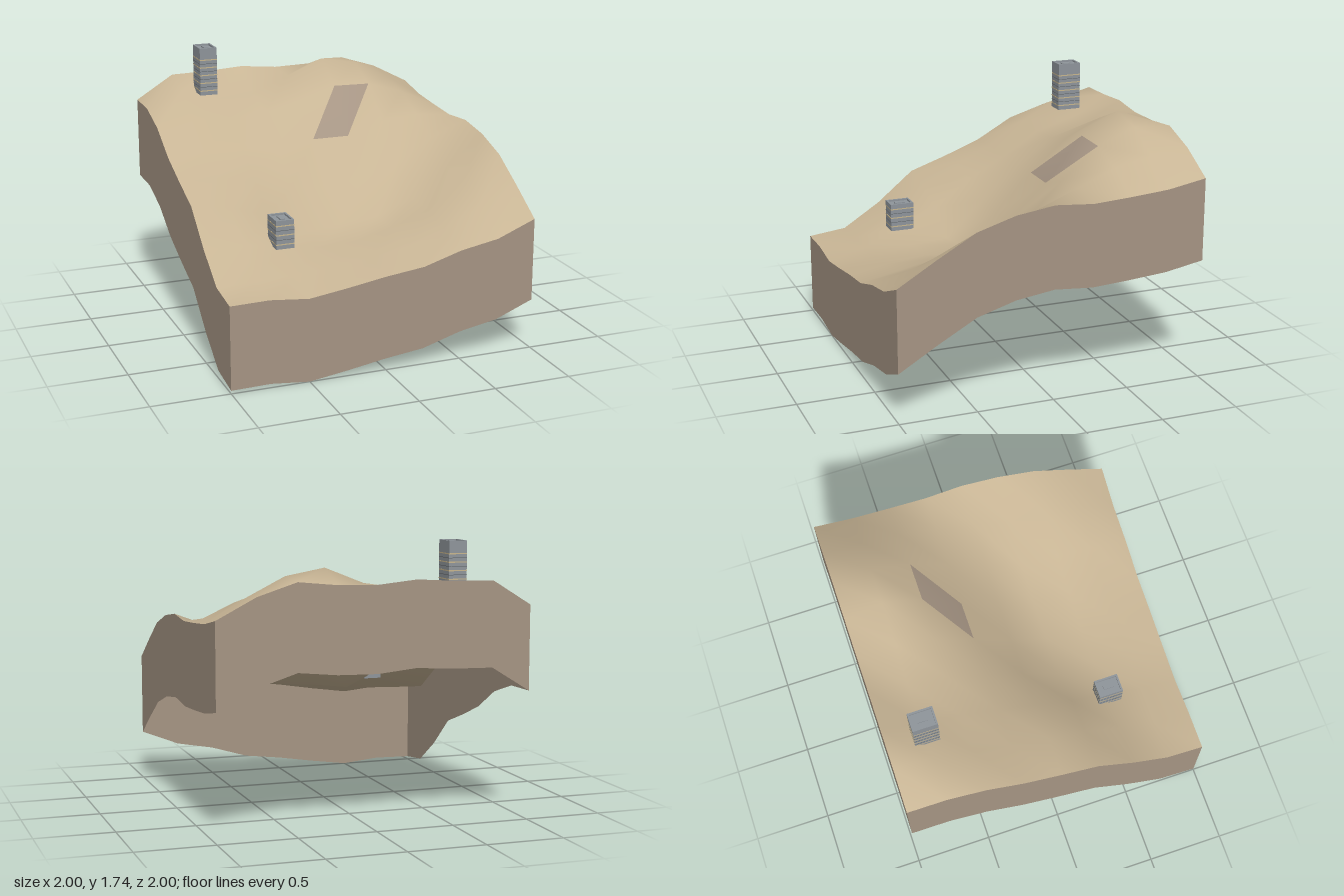
import * as THREE from 'three';

const DEPTH = 0.535, N = 9, STEP = 0.25;

// Ground heights: rows run from back (z = -1) to front (z = 1), columns from x = -1 to x = 1
const H = [
  [1.35, 1.505, 1.51, 1.525, 1.5, 1.505, 1.53, 1.45, 1.32],
  [1.345, 1.44, 1.37, 1.385, 1.49, 1.59, 1.545, 1.42, 1.275],
  [1.27, 1.31, 1.29, 1.31, 1.37, 1.45, 1.445, 1.37, 1.255],
  [1.13, 1.15, 1.14, 1.13, 1.16, 1.16, 1.24, 1.265, 1.24],
  [1.035, 1.04, 1.0, 0.92, 0.91, 0.93, 1.0, 1.165, 1.26],
  [0.95, 0.92, 0.83, 0.69, 0.72, 0.74, 0.84, 1.03, 1.225],
  [0.745, 0.74, 0.72, 0.67, 0.68, 0.74, 0.83, 1.0, 1.15],
  [0.585, 0.59, 0.6, 0.62, 0.65, 0.69, 0.78, 0.9, 1.01],
  [0.555, 0.56, 0.535, 0.57, 0.61, 0.64, 0.715, 0.76, 0.86],
];
const point = (i, j) => [i * STEP - 1, H[j][i], j * STEP - 1];

// Smooth ground; the two steep triangles of the cliff use the rock material
function groundGeometry() {
  const pos = [], earth = [], rock = [];
  for (let j = 0; j < N; j++) for (let i = 0; i < N; i++) pos.push(...point(i, j));
  for (let j = 0; j < N - 1; j++) {
    for (let i = 0; i < N - 1; i++) {
      const a = j * N + i, b = a + N, c = b + 1, d = a + 1;
      (i === 5 && j === 2 ? rock : earth).push(a, b, d);
      (i === 4 && j === 2 ? rock : earth).push(b, c, d);
    }
  }
  const g = new THREE.BufferGeometry();
  g.setAttribute('position', new THREE.Float32BufferAttribute(pos, 3));
  g.setIndex([...earth, ...rock]);
  g.addGroup(0, earth.length, 0);
  g.addGroup(earth.length, rock.length, 1);
  g.computeVertexNormals();
  return g;
}

// Vertical wall of constant depth under the ground's border
function skirtGeometry() {
  const rim = [], m = N - 1;
  for (let k = 0; k < m; k++) rim.push(point(k, m));
  for (let k = 0; k < m; k++) rim.push(point(m, m - k));
  for (let k = 0; k < m; k++) rim.push(point(m - k, 0));
  for (let k = 0; k < m; k++) rim.push(point(0, k));
  const pos = [];
  rim.forEach((p, k) => {
    const q = rim[(k + 1) % rim.length];
    const p0 = [p[0], p[1] - DEPTH, p[2]], q0 = [q[0], q[1] - DEPTH, q[2]];
    pos.push(...p0, ...q0, ...q, ...p0, ...q, ...p);
  });
  const g = new THREE.BufferGeometry();
  g.setAttribute('position', new THREE.Float32BufferAttribute(pos, 3));
  g.computeVertexNormals();
  return g;
}

export function createModel() {
  const mat = (name, color, side = THREE.FrontSide) => {
    const m = new THREE.MeshStandardMaterial({ color, side });
    m.name = name;
    return m;
  };
  const earth = mat('sandyEarth', 0xc8b595, THREE.DoubleSide);
  const rock = mat('brownRock', 0xa69584, THREE.DoubleSide);
  const concrete = mat('greyConcrete', 0x8f959b);
  const trim = mat('tanTrim', 0xc9b78e);
  const dark = mat('darkGrey', 0x5c6165);

  const model = new THREE.Group();
  model.name = 'hillsideWithTowers';
  const add = (parent, name, geometry, material, x = 0, y = 0, z = 0) => {
    const mesh = new THREE.Mesh(geometry, material);
    mesh.name = name;
    mesh.position.set(x, y, z);
    parent.add(mesh);
  };
  add(model, 'ground', groundGeometry(), [earth, rock]);
  add(model, 'skirt', skirtGeometry(), rock);

  // Tower block with parapet, thin floor bands and a low roof hatch
  const W = 0.118, D = 0.158, PAR = 0.012, T = 0.012;
  function tower(name, x, z, base, top, bands) {
    const g = new THREE.Group();
    g.name = name;
    g.position.set(x, base, z);
    const h = top - base, hb = h - PAR;
    add(g, 'body', new THREE.BoxGeometry(W, hb, D), concrete, 0, hb / 2, 0);
    for (const s of [-1, 1]) {
      add(g, 'parapetSide', new THREE.BoxGeometry(T, PAR, D), concrete, s * (W - T) / 2, hb + PAR / 2, 0);
      add(g, 'parapetEnd', new THREE.BoxGeometry(W - 2 * T, PAR, T), concrete, 0, hb + PAR / 2, s * (D - T) / 2);
    }
    add(g, 'roofHatch', new THREE.BoxGeometry(0.03, 0.008, 0.07), concrete, 0, hb + 0.004, 0);
    bands.forEach((y, k) => {
      add(g, 'floorBand', new THREE.BoxGeometry(W + 0.002, 0.007, D + 0.002), trim, 0, y - base, 0);
      if (k) add(g, 'floorJoint', new THREE.BoxGeometry(W + 0.001, 0.003, D + 0.001), dark, 0, (y + bands[k - 1]) / 2 - base, 0);
    });
    model.add(g);
  }
  tower('upperTower', -0.588, -0.75, 1.42, 1.74, [1.45, 1.503, 1.556, 1.608, 1.66]);
  tower('lowerTower', -0.5, 0.5, 0.715, 0.9, [0.745, 0.805, 0.865]);
  return model;
}
